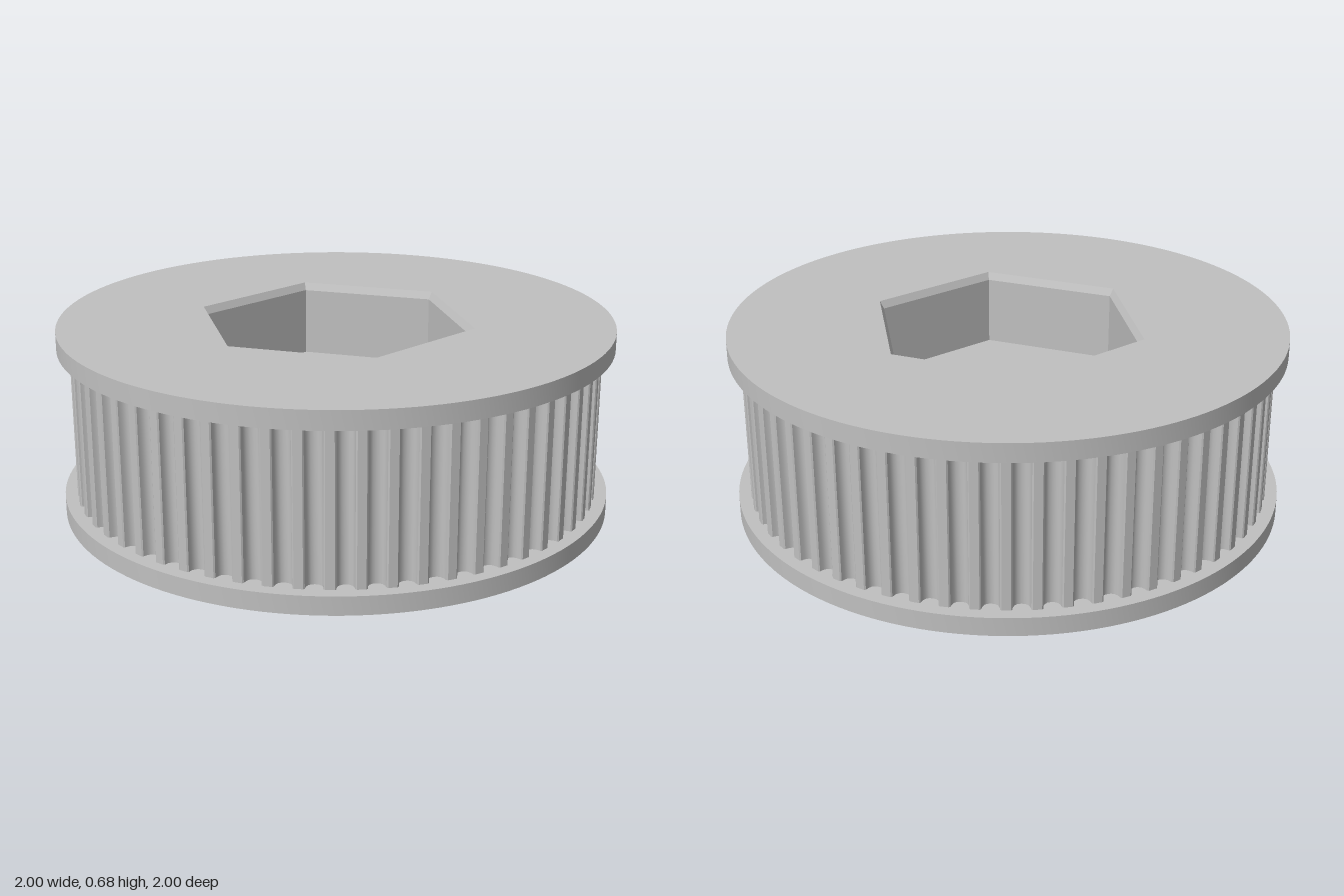
import * as THREE from 'three';
import { toCreasedNormals } from 'three/addons/utils/BufferGeometryUtils.js';

const HEIGHT = 0.684, FLANGE = 0.067, POCKET = 0.28;
const HEX_RIM = 0.51, HEX = 0.494, BORE_RIM = 0.12, BORE = 0.106;
const TEETH = 60;

// Points of a circle or regular polygon, first corner on the z axis
function ring(radius, count) {
  return Array.from({ length: count }, (_, i) => {
    const a = (i / count) * Math.PI * 2;
    return new THREE.Vector2(radius * Math.sin(a), radius * Math.cos(a));
  });
}

// Outline of the toothed drum: rounded grooves, one centred on each axis
function toothedOutline() {
  const half = [[0.035, 0.955], [0.030, 0.951], [0.028, 0.937], [0.022, 0.925], [0.012, 0.918]];
  const groove = [
    ...half.map(([x, r]) => [-x, r]),
    [0, 0.916],
    ...half.slice().reverse(),
  ];
  const points = [];
  for (let i = 0; i < TEETH; i++) {
    const a = (i / TEETH) * Math.PI * 2, s = Math.sin(a), c = Math.cos(a);
    for (const [x, r] of groove) points.push(new THREE.Vector2(x * c + r * s, r * c - x * s));
  }
  return points;
}

// Flat slab with a hole, standing from y0 to y1
function slab(outline, hole, y0, y1) {
  const shape = new THREE.Shape(outline);
  shape.holes.push(new THREE.Path(hole));
  const geometry = new THREE.ExtrudeGeometry(shape, { depth: y1 - y0, bevelEnabled: false });
  geometry.rotateX(-Math.PI / 2).translate(0, y0, 0);
  return toCreasedNormals(geometry, 0.6);
}

// Inward-facing wall turned around y; the profile runs downwards
function innerWall(profile, sides) {
  const points = profile.map(([r, y]) => new THREE.Vector2(r, y));
  return toCreasedNormals(new THREE.LatheGeometry(points, sides), 0.4);
}

export function createModel() {
  const group = new THREE.Group();
  const grey = new THREE.MeshStandardMaterial({ color: 0xc0c0c0 });
  grey.name = 'grey';
  const add = (name, geometry) => {
    const mesh = new THREE.Mesh(geometry, grey);
    mesh.name = name;
    group.add(mesh);
  };

  // Flanges and toothed drum
  const top = HEIGHT - FLANGE;
  add('bottomFlange', slab(ring(1, 144), ring(HEX_RIM, 6), 0, FLANGE));
  add('topFlange', slab(ring(1, 144), ring(HEX_RIM, 6), top, HEIGHT));
  add('toothedDrum', slab(toothedOutline(), ring(0.6, 48), FLANGE, top));

  // Hexagonal pockets with chamfered rims
  const lip = 0.027, floorLow = POCKET, floorHigh = HEIGHT - POCKET;
  add('topPocket', innerWall([[HEX_RIM, HEIGHT], [HEX, HEIGHT - lip], [HEX, floorHigh]], 6));
  add('bottomPocket', innerWall([[HEX, floorLow], [HEX, lip], [HEX_RIM, 0]], 6));

  // Web between the pockets, with a chamfered bore
  const c = BORE_RIM - BORE;
  add('web', slab(ring(HEX, 6), ring(BORE_RIM, 48), floorLow, floorHigh));
  add('bore', innerWall([
    [BORE_RIM, floorHigh], [BORE, floorHigh - c], [BORE, floorLow + c], [BORE_RIM, floorLow],
  ], 48));
  return group;
}
